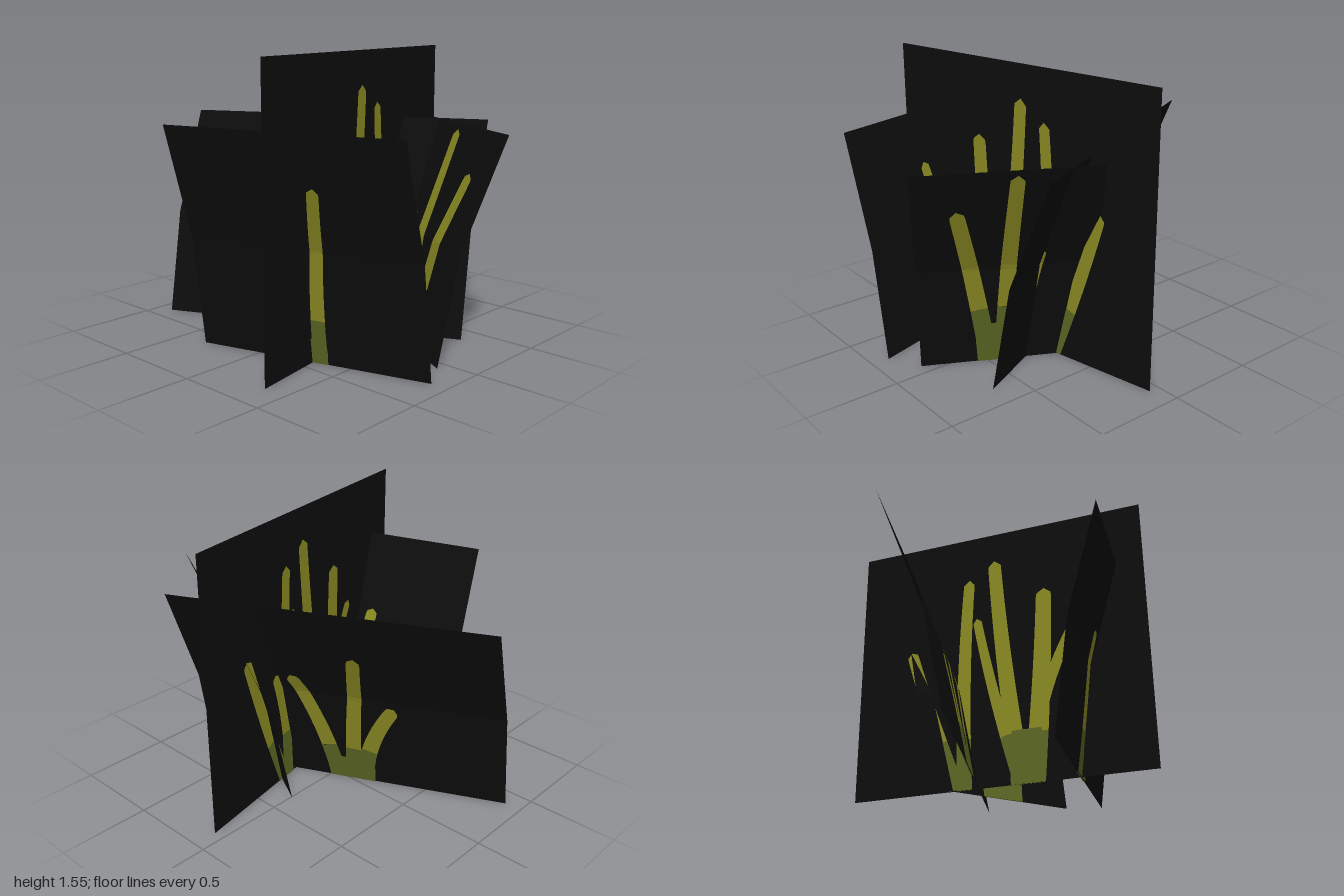
import * as THREE from 'three';

const material = (name, color) => {
  const m = new THREE.MeshStandardMaterial({ color, side: THREE.DoubleSide });
  m.name = name;
  return m;
};
const black = material('black', 0x0d0d0d);
const leaf = material('leafOlive', 0x8c8c24);
const stem = material('stemGreen', 0x5c6824);

// Flat-shaded strip joining successive [left, right] point pairs.
function strip(rows) {
  const pos = [];
  for (let i = 0; i + 1 < rows.length; i++) {
    const [l0, r0] = rows[i], [l1, r1] = rows[i + 1];
    pos.push(...l0, ...r0, ...r1, ...l0, ...r1, ...l1);
  }
  const g = new THREE.BufferGeometry();
  g.setAttribute('position', new THREE.Float32BufferAttribute(pos, 3));
  g.computeVertexNormals();
  return g;
}

// Edge points of a bowed, tapering blade with a rounded tip, rising from the ground.
function bladeEdges([base, tip, top, bow, width]) {
  const n = 40, edges = [];
  for (let i = 0; i <= n; i++) {
    const t = i / n;
    const s = base + (tip - base) * t + bow * 4 * t * (1 - t), y = top * t;
    const slope = tip - base + bow * 4 * (1 - 2 * t), k = Math.hypot(slope, top);
    const radius = (width / 2) * (1 - 0.25 * t);
    const toTip = Math.min(1, Math.hypot(tip - s, top - y) / radius);
    const w = radius * Math.sqrt(1 - (1 - toTip) ** 2);
    const ds = (w * top) / k, dy = (w * slope) / k;
    edges.push([[s - ds, Math.max(0, y + dy)], [s + ds, Math.max(0, y - dy)]]);
  }
  return edges;
}

// A dark card standing on the line a-b (x, z), its top shifted by lean, painted on both faces.
// Blades are [base, tip, tip height, bow, width]; the clump is [centre, width, height].
function makeCard(name, a, b, lean, height, stemHeight, clump, blades) {
  const group = new THREE.Group();
  group.name = name;
  const len = Math.hypot(b[0] - a[0], b[1] - a[1]);
  const dx = (b[0] - a[0]) / len, dz = (b[1] - a[1]) / len;

  // Distance along the card, height and offset to a point on the folded card
  const at = ([s, y], off) => {
    const h = y / height;
    const f = h < 0.5 ? h * 0.64 : 0.32 + (h - 0.5) * 1.36;
    return [a[0] + dx * s + lean[0] * f - dz * off, y, a[1] + dz * s + lean[1] * f + dx * off];
  };
  const add = (part, edges, off, mat) => {
    const mesh = new THREE.Mesh(strip(edges.map((e) => e.map((p) => at(p, off)))), mat);
    mesh.name = part;
    group.add(mesh);
  };

  // Backing card, folded at half height
  add('panel', [0, 0.5, 1].map((h) => [[0, h * height], [len, h * height]]), 0, black);

  for (const side of [-1, 1]) {
    // Each blade: green below, olive above
    for (const blade of blades) {
      const edges = bladeEdges(blade);
      const cut = Math.round((stemHeight / blade[2]) * 40);
      add('bladeStem', edges.slice(0, cut + 1), side * 0.004, stem);
      add('bladeLeaf', edges.slice(cut), side * 0.003, leaf);
    }
    // Green clump joining the blades at the ground
    const [c, w, h] = clump;
    add('clump', [[0, 0.47], [0.6, 0.5], [1, 0.42]].map(([t, k]) => [[c - w * k, h * t], [c + w * k, h * t]]),
      side * 0.0045, stem);
  }
  return group;
}

export function createModel() {
  const model = new THREE.Group();
  model.add(
    makeCard('backCard', [-0.905, 0.39], [0.655, -0.355], [-0.095, -0.34], 1.16, 0.22, [0.87, 0.28, 0.15], [
      [0.79, 0.6, 0.54, 0.045, 0.1],
      [0.86, 0.775, 0.87, 0.015, 0.095],
      [0.95, 1.16, 0.69, -0.03, 0.1],
    ]),
    makeCard('sideCard', [-0.01, -0.37], [0.81, 0.07], [0.19, -0.28], 1.16, 0.33, [0.51, 0.26, 0.24], [
      [0.44, 0.3, 0.68, 0.01, 0.09],
      [0.5, 0.42, 1.13, 0.005, 0.095],
      [0.57, 0.72, 0.94, -0.005, 0.1],
    ]),
    makeCard('frontCard', [-0.325, 0.61], [0.905, 0.245], [0.03, 0.26], 1.2, 0.23, [0.645, 0.19, 0.13], [
      [0.59, 0.57, 0.77, 0.018, 0.09],
      [0.695, 0.77, 0.93, -0.02, 0.085],
    ]),
    makeCard('tallCard', [0.37, 0.83], [0.06, -0.87], [0, 0], 1.55, 0.28, [0.7, 0.2, 0.3], [
      [0.68, 0.42, 0.86, 0.055, 0.08],
      [0.66, 0.58, 1.13, -0.01, 0.12],
      [0.73, 0.88, 1.37, 0.015, 0.105],
      [0.74, 0.99, 1.01, 0.015, 0.07],
      [1.06, 1.035, 1.27, 0.018, 0.09],
      [1.06, 1.16, 0.68, -0.03, 0.08],
      [1.1, 1.4, 0.86, 0.01, 0.09],
    ]),
  );
  return model;
}
